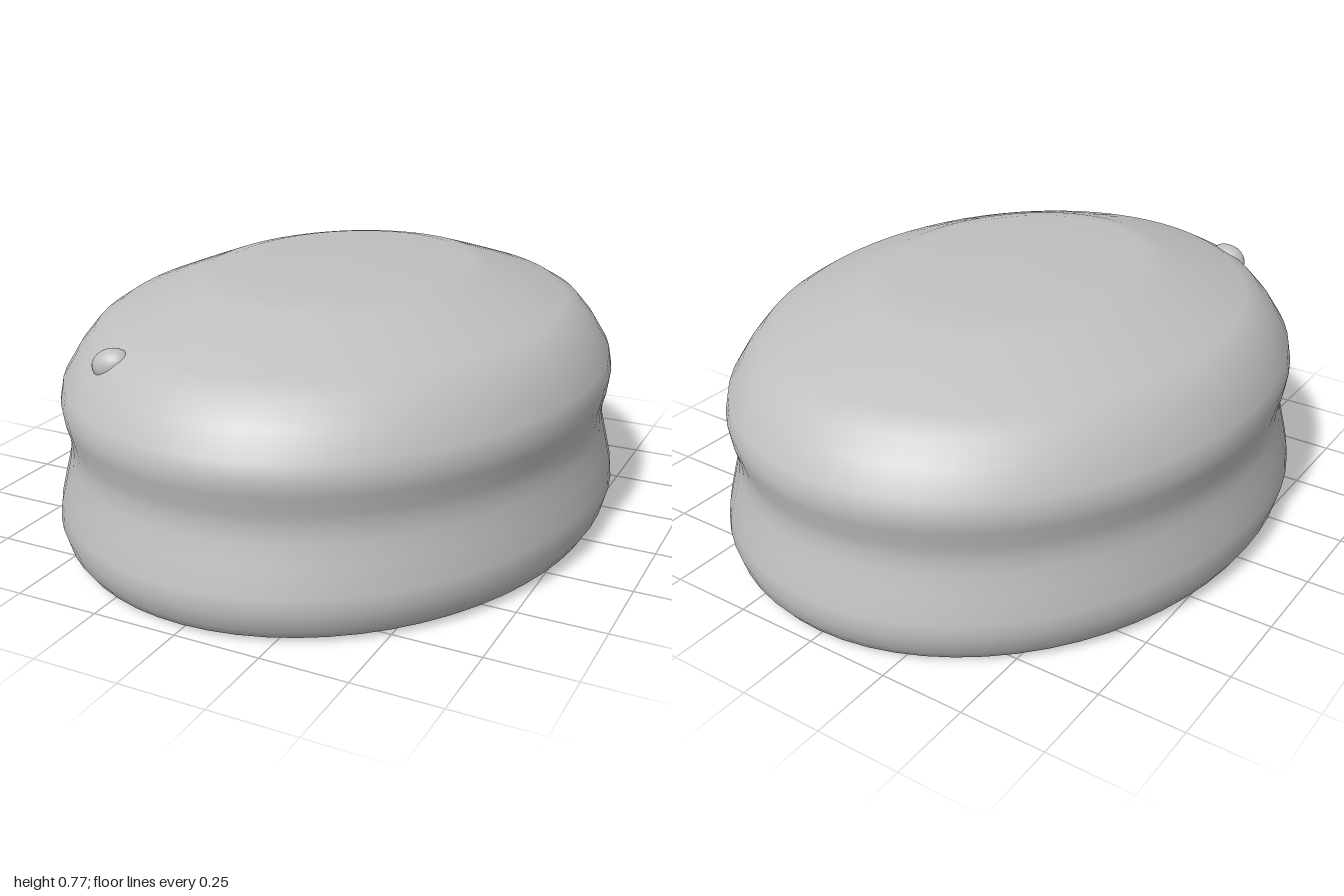
import * as THREE from 'three';

const DEPTH = 1.227; // oval stretch along z

export function createModel() {
  const group = new THREE.Group();
  const grey = new THREE.MeshStandardMaterial({ color: 0xc0c0c0 });
  grey.name = 'plain grey';

  const add = (name, geometry) => {
    const mesh = new THREE.Mesh(geometry, grey);
    mesh.name = name;
    group.add(mesh);
    return mesh;
  };

  // Oval body with a rounded foot, pinched waist and stepped dome
  const profile = [
    [0.755, 0], [0.785, 0.012], [0.802, 0.04], [0.815, 0.09], [0.81, 0.135],
    [0.793, 0.21], [0.779, 0.27], [0.775, 0.31], [0.778, 0.35], [0.79, 0.4],
    [0.795, 0.44], [0.786, 0.49], [0.745, 0.56], [0.7, 0.617], [0.65, 0.65],
    [0.53, 0.698], [0.42, 0.74], [0.36, 0.755], [0.18, 0.764], [0, 0.77],
  ].map(([r, y]) => new THREE.Vector2(r, y));
  add('body', new THREE.LatheGeometry(profile, 64).scale(1, 1, DEPTH));

  // Flat underside
  const base = new THREE.CircleGeometry(profile[0].x, 64).rotateX(Math.PI / 2);
  add('underside', base.scale(1, 1, DEPTH));

  // Small bump on the front right shoulder
  const bump = add('shoulderBump', new THREE.SphereGeometry(1, 24, 16));
  bump.scale.set(0.06, 0.045, 0.045);
  bump.position.set(-0.34, 0.603, 0.737);
  bump.rotation.z = 0.3;

  return group;
}
